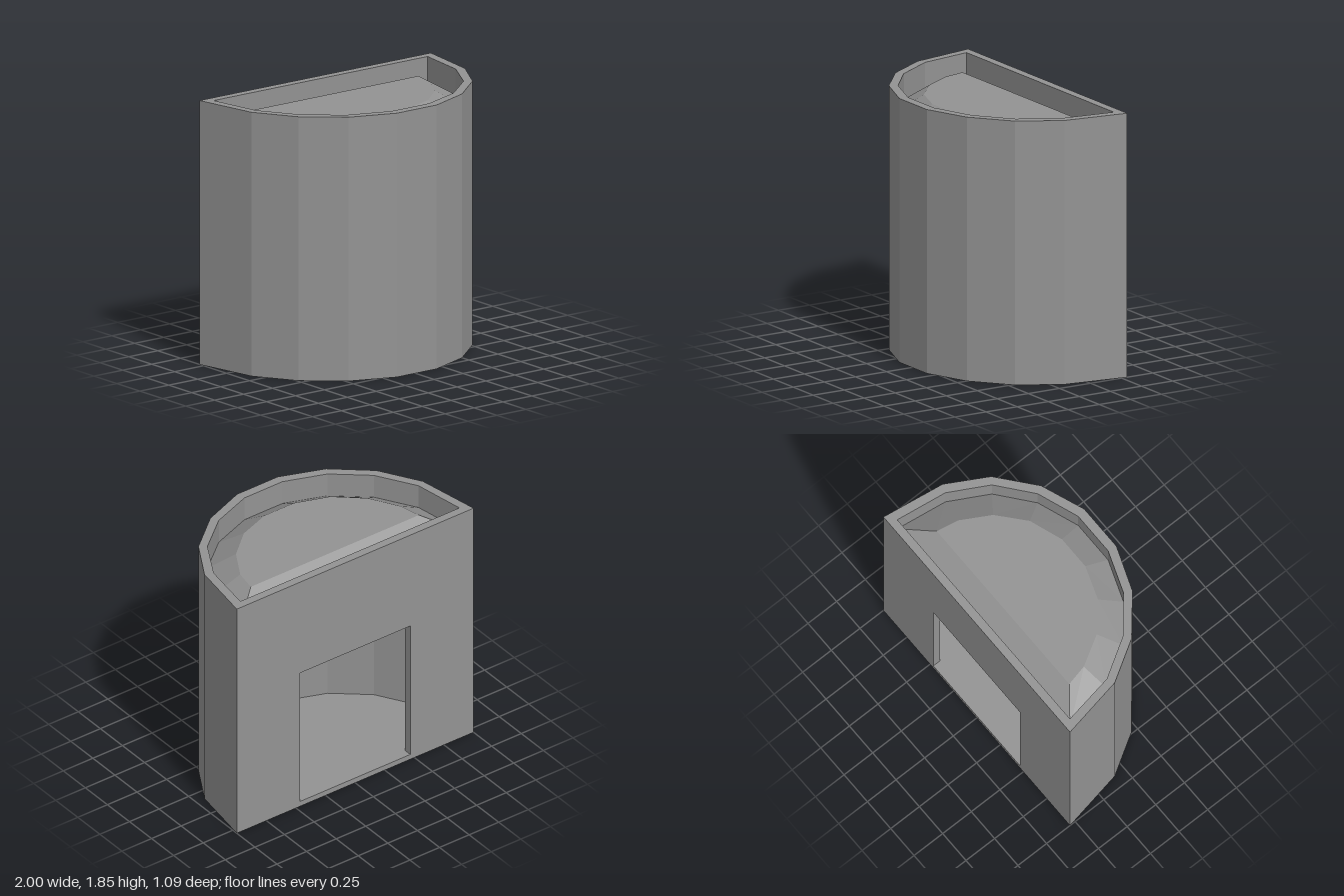
import * as THREE from 'three';

const H = 1.85, FLOOR = 0.04, CEILING = 1.34, TRAY = 1.67, MOUND = 1.785;
const BACK = -0.545, INNER_BACK = -0.485;

// Plan outlines as [x, z], running from the back right round the front to the back left
const outer = [[-1, BACK], [-0.915, -0.085], [-0.74, 0.205], [-0.48, 0.425], [-0.16, 0.545],
  [0.185, 0.545], [0.5, 0.425], [0.765, 0.205], [0.93, -0.085], [1, BACK]];
const inner = [[-0.925, INNER_BACK], [-0.86, -0.11], [-0.69, 0.17], [-0.45, 0.37], [-0.15, 0.48],
  [0.17, 0.48], [0.47, 0.37], [0.715, 0.17], [0.87, -0.11], [0.925, INNER_BACK]];
const plateau = [[-0.71, -0.315], [-0.675, -0.16], [-0.55, 0.055], [-0.36, 0.22], [-0.12, 0.305],
  [0.13, 0.305], [0.37, 0.22], [0.56, 0.055], [0.68, -0.155], [0.71, -0.315]];
const door = [[-0.465, FLOOR], [0.465, FLOOR], [0.465, 1.1], [-0.465, 1.1]];

const at = (outline, y) => outline.map(([x, z]) => [x, y, z]);

// Strip of flat quads between two matching loops of points
function band(a, b, closed) {
  const pos = [];
  const n = a.length;
  for (let i = 0; i < (closed ? n : n - 1); i++) {
    const j = (i + 1) % n;
    pos.push(...a[i], ...a[j], ...b[j], ...a[i], ...b[j], ...b[i]);
  }
  const g = new THREE.BufferGeometry();
  g.setAttribute('position', new THREE.Float32BufferAttribute(pos, 3));
  g.computeVertexNormals();
  return g;
}

// Horizontal face filling an outline, facing up or down
function cap(outline, y, up) {
  const s = up ? -1 : 1;
  const shape = new THREE.Shape(outline.map(([x, z]) => new THREE.Vector2(x, s * z)));
  return new THREE.ShapeGeometry(shape).rotateX(s * Math.PI / 2).translate(0, y, 0);
}

// Upright face with the doorway cut out, facing the front or the back
function doorWall(x0, x1, y0, y1, z, facesBack) {
  const s = facesBack ? -1 : 1;
  const pts = (list) => list.map(([x, y]) => new THREE.Vector2(s * x, y));
  const shape = new THREE.Shape(pts([[x0, y0], [x1, y0], [x1, y1], [x0, y1]]));
  shape.holes.push(new THREE.Path(pts(door)));
  const g = new THREE.ShapeGeometry(shape);
  if (facesBack) g.rotateY(Math.PI);
  return g.translate(0, 0, z);
}

export function createModel() {
  const model = new THREE.Group();
  model.name = 'halfRoundShelter';
  const material = new THREE.MeshStandardMaterial({ color: 0x939393, flatShading: true });
  const add = (name, geometry) => {
    const mesh = new THREE.Mesh(geometry, material);
    mesh.name = name;
    model.add(mesh);
  };

  // Outer shell
  add('curvedOuterWall', band(at(outer, 0), at(outer, H), false));
  add('backWall', doorWall(-1, 1, 0, H, BACK, true));
  add('underside', cap(outer, 0, false));

  // Room behind the doorway
  const doorAt = (z) => door.map(([x, y]) => [x, y, z]);
  add('doorReveal', band(doorAt(INNER_BACK), doorAt(BACK), true));
  add('curvedRoomWall', band(at(inner, CEILING), at(inner, FLOOR), false));
  add('roomBackWall', doorWall(-0.925, 0.925, FLOOR, CEILING, INNER_BACK, false));
  add('roomFloor', cap(inner, FLOOR, true));
  add('roomCeiling', cap(inner, CEILING, false));

  // Sunken roof with a raised, sloping mound inside the rim
  add('rim', band(at(outer, H), at(inner, H), true));
  add('parapetInside', band(at(inner, H), at(inner, TRAY), true));
  add('roofSlope', band(at(inner, TRAY), at(plateau, MOUND), true));
  add('roofTop', cap(plateau, MOUND, true));

  return model;
}
